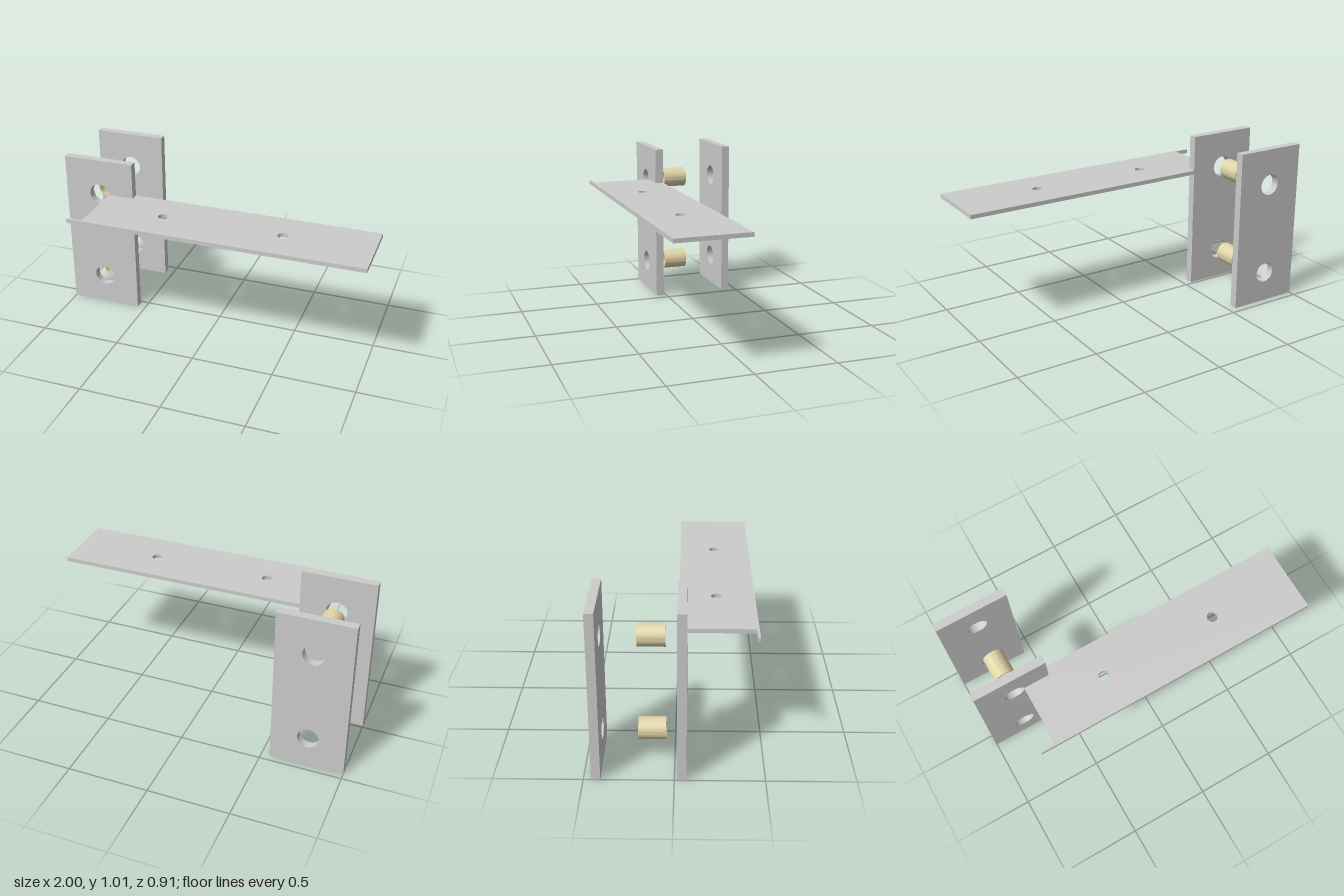
import * as THREE from 'three';
import { toCreasedNormals } from 'three/addons/utils/BufferGeometryUtils.js';

const steel = new THREE.MeshStandardMaterial({ color: 0xcccccc });
const brass = new THREE.MeshStandardMaterial({ color: 0xe0d4a8 });

const HOLE_X = -0.775;
const HOLE_YS = [0.196, 0.779];

// Extrudes an outline with round holes [x, y, r]; walls of holes stay smooth.
function plate(shape, holes, depth) {
  for (const [x, y, r] of holes) {
    shape.holes.push(new THREE.Path().absarc(x, y, r, 0, Math.PI * 2, true));
  }
  const geometry = new THREE.ExtrudeGeometry(shape, { depth, bevelEnabled: false, curveSegments: 48 });
  return toCreasedNormals(geometry, Math.PI / 6);
}

function polygon(points) {
  return new THREE.Shape(points.map(([x, y]) => new THREE.Vector2(x, y)));
}

export function createModel() {
  const model = new THREE.Group();
  const add = (name, geometry, material) => {
    const mesh = new THREE.Mesh(geometry, material);
    mesh.name = name;
    model.add(mesh);
    return mesh;
  };

  // Two upright plates, each with a pair of holes
  for (const [name, z] of [['frontPlate', 0.016], ['backPlate', -0.457]]) {
    const outline = polygon([[-1, 0], [-0.55, 0], [-0.55, 1.006], [-1, 1.006]]);
    const holes = HOLE_YS.map((y) => [HOLE_X, y, 0.065]);
    add(name, plate(outline, holes, 0.051), steel).position.z = z;
  }

  // Hollow spacers between the plates, in line with the holes
  HOLE_YS.forEach((y, i) => {
    const ring = new THREE.Shape().absarc(0, 0, 0.064, 0, Math.PI * 2, false);
    const spacer = add(i ? 'upperSpacer' : 'lowerSpacer', plate(ring, [[0, 0, 0.053]], 0.155), brass);
    spacer.position.set(HOLE_X, y, -0.203);
  });

  // Long flat shelf with two screw holes and a thin tongue along its front edge
  const outline = polygon([
    [-0.71, -0.016], [-0.71, -0.442], [-0.805, -0.442],
    [-0.805, -0.457], [1, -0.457], [1, -0.016],
  ]);
  const shelf = plate(outline, [[-0.275, -0.234, 0.032], [0.465, -0.234, 0.032]], 0.025);
  shelf.rotateX(-Math.PI / 2);
  add('shelf', shelf, steel).position.y = 0.758;

  return model;
}
